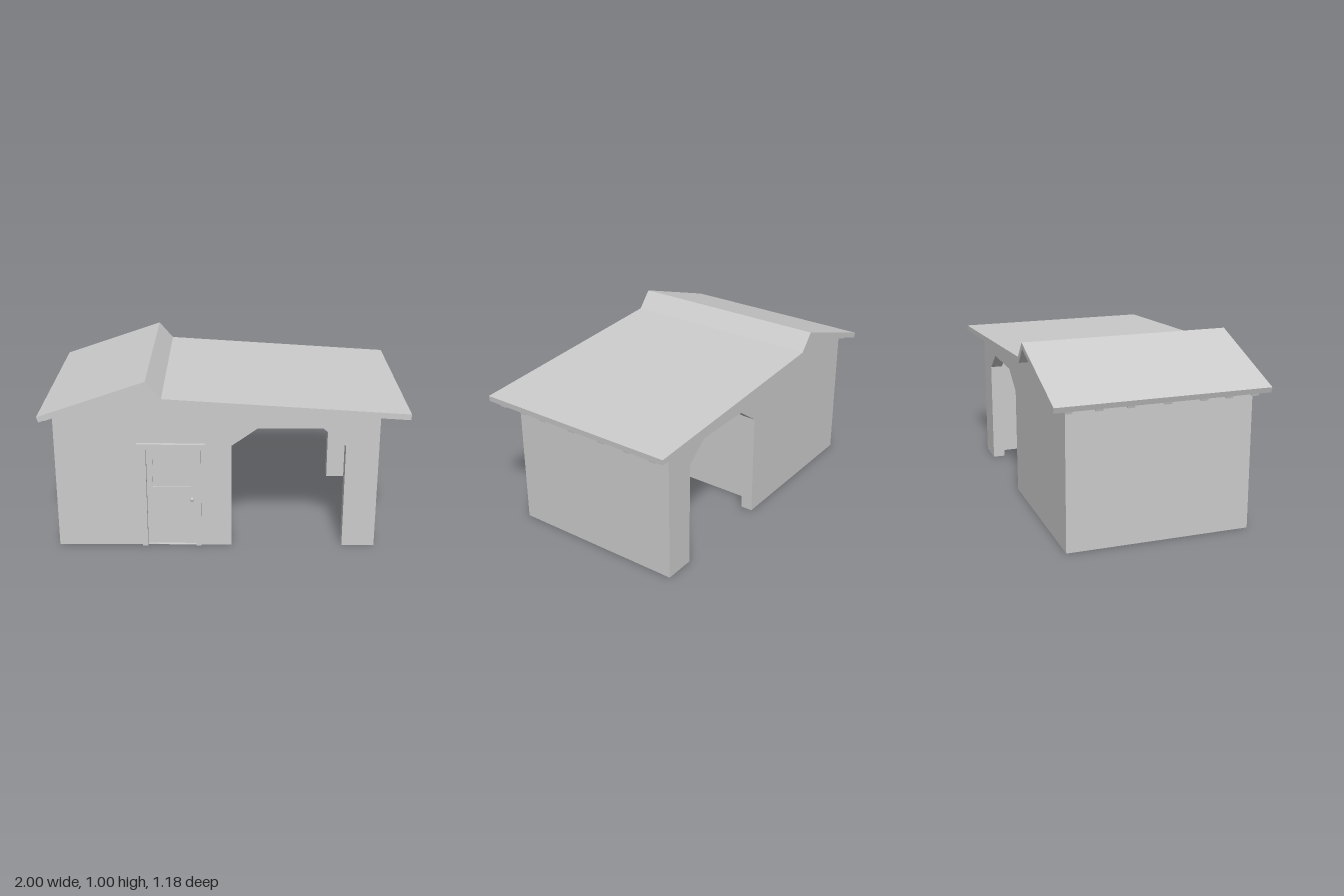
import * as THREE from 'three';

const material = new THREE.MeshStandardMaterial({ color: 0xcccccc });

const WALL_Z = 0.513;   // outer face of front and back walls
const WALL_T = 0.07;    // wall thickness
const INNER_Z = WALL_Z - WALL_T;
const ROOF_Z = 0.59;

export function createModel() {
  const model = new THREE.Group();

  const add = (name, geometry, x = 0, y = 0, z = 0) => {
    const mesh = new THREE.Mesh(geometry, material);
    mesh.name = name;
    mesh.position.set(x, y, z);
    model.add(mesh);
    return mesh;
  };
  const outline = (points) => points.map(([x, y]) => new THREE.Vector2(x, y));
  // Extrude an x-y outline between two depths
  const slab = (name, points, z0, z1, hole) => {
    const shape = new THREE.Shape(outline(points));
    if (hole) shape.holes.push(new THREE.Path(outline(hole)));
    const geometry = new THREE.ExtrudeGeometry(shape, { depth: z1 - z0, bevelEnabled: false });
    return add(name, geometry, 0, 0, z0);
  };
  // Box given by its limits
  const block = (name, x0, x1, y0, y1, z0, z1) =>
    add(name, new THREE.BoxGeometry(x1 - x0, y1 - y0, z1 - z0),
      (x0 + x1) / 2, (y0 + y1) / 2, (z0 + z1) / 2);

  // Roof sheet with one steep step between two slopes
  const roofTop = [[-1, 0.8], [-0.415, 1], [-0.332, 0.904], [1, 0.82]];
  const roofUnder = [[-0.99, 0.77], [-0.424, 0.966], [-0.345, 0.873], [0.997, 0.788]];
  slab('roof', [...roofTop, ...[...roofUnder].reverse()], -ROOF_Z, ROOF_Z);

  // Rafters following the underside of the roof
  const rafterUnder = [[-0.972, 0.754], [-0.428, 0.948], [-0.352, 0.855], [0.98, 0.769]];
  const rafterTop = [[-0.978, 0.777], [-0.424, 0.97], [-0.345, 0.877], [0.984, 0.793]];
  for (const z of [0.508, 0.36, 0.22, 0.02, -0.18, -0.347, -0.508]) {
    slab('rafter', [...rafterTop, ...[...rafterUnder].reverse()], z - 0.02, z + 0.02);
  }

  // Gable walls with a chamfered drive-through opening
  const eaves = [[0.85, 0.805], [-0.34, 0.883], [-0.42, 0.975], [-0.93, 0.8]];
  const gable = [
    [-0.93, 0], [0.043, 0], [0.043, 0.607], [0.187, 0.71],
    [0.54, 0.71], [0.668, 0.607], [0.668, 0], [0.85, 0], ...eaves,
  ];
  const doorway = [[-0.43, 0.003], [-0.155, 0.003], [-0.155, 0.59], [-0.43, 0.59]];
  slab('frontWall', gable, INNER_Z, WALL_Z, doorway);
  slab('backWall', gable, -WALL_Z, -INNER_Z);

  // Closed room on one side, thin wall on the other
  slab('room', [[-0.93, 0], [-0.055, 0], [-0.055, 0.864], ...eaves.slice(1)], -INNER_Z, INNER_Z);
  slab('sideWall', [[0.78, 0], [0.85, 0], [0.85, 0.805], [0.78, 0.809]], -INNER_Z, INNER_Z);

  // Door leaf with window and knob
  const DOOR_Z = 0.5;
  slab('door', doorway, INNER_Z, DOOR_Z,
    [[-0.395, 0.352], [-0.183, 0.352], [-0.183, 0.555], [-0.395, 0.555]]);
  block('doorWindow', -0.395, -0.183, 0.352, 0.555, INNER_Z, DOOR_Z - 0.01);
  const stem = new THREE.CylinderGeometry(0.005, 0.005, 0.015, 10);
  add('knobStem', stem.rotateX(Math.PI / 2), -0.177, 0.285, DOOR_Z + 0.007);
  add('knob', new THREE.SphereGeometry(0.011, 14, 10), -0.177, 0.285, DOOR_Z + 0.019);

  // Door frame
  for (const x of [-0.457, -0.155]) {
    block('doorPost', x, x + 0.029, 0.003, 0.592, WALL_Z - 0.02, 0.534);
  }
  block('doorLintel', -0.478, -0.103, 0.59, 0.621, WALL_Z - 0.02, 0.535);

  return model;
}
